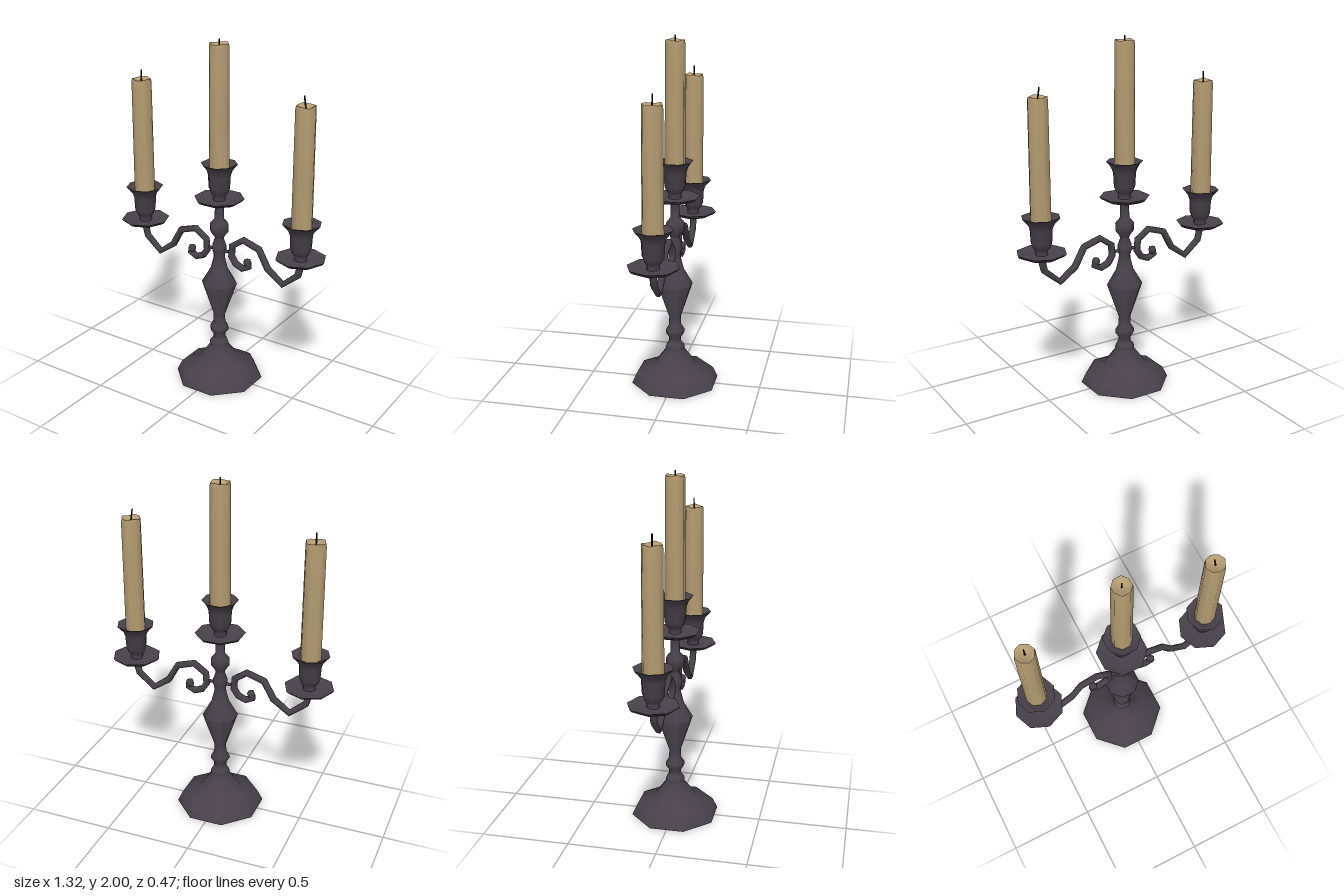
import * as THREE from 'three';
import { toCreasedNormals } from 'three/addons/utils/BufferGeometryUtils.js';

const SIDE_X = 0.522;

export function createModel() {
  const model = new THREE.Group();
  model.name = 'candelabrum';
  const material = (name, color) => {
    const m = new THREE.MeshStandardMaterial({ color });
    m.name = name;
    return m;
  };
  const metal = material('dark metal', 0x48414a);
  const wax = material('wax', 0xb39b70);
  const soot = material('wick black', 0x161414);

  const add = (parent, name, geometry, mat) => {
    const mesh = new THREE.Mesh(geometry, mat);
    mesh.name = name;
    parent.add(mesh);
    return mesh;
  };

  // Eight-sided turned part; profile is [radius, y] from bottom to top
  const turned = (profile, deform) => {
    const g = new THREE.LatheGeometry(profile.map(([r, y]) => new THREE.Vector2(r, y)), 8);
    if (deform) {
      const p = g.attributes.position;
      for (let i = 0; i < p.count; i++) {
        const a = Math.atan2(p.getX(i), p.getZ(i));
        p.setY(i, p.getY(i) + deform(Math.hypot(p.getX(i), p.getZ(i)), p.getY(i), a));
      }
    }
    return toCreasedNormals(g, 1.0);
  };

  // Foot, baluster and stem, with flats facing the front and sides
  const column = add(model, 'column', turned([
    [0, 0], [0.255, 0], [0.226, 0.06], [0.125, 0.105], [0.054, 0.2],
    [0.056, 0.215], [0.05, 0.23], [0.036, 0.245], [0.036, 0.275],
    [0.054, 0.3], [0.054, 0.32], [0.036, 0.35], [0.034, 0.4],
    [0.102, 0.6], [0.05, 0.69], [0.035, 0.75], [0.032, 0.775],
    [0.04, 0.8], [0.04, 0.835], [0.026, 0.875], [0.03, 0.89],
    [0.053, 0.92], [0.053, 0.965], [0.027, 0.995], [0.025, 1.08], [0.03, 1.095],
  ]), metal);
  column.rotation.y = Math.PI / 8;

  // Drip tray, socket, candle and wick
  function candleHolder(name, x, y, o) {
    const holder = new THREE.Group();
    holder.name = name;
    holder.position.set(x, y, 0);
    holder.rotation.y = o.turn;
    const t = o.tray, c = o.cup;
    add(holder, 'dripTray', turned([
      [0, -0.045], [0.022, -0.045], [0.03, -0.028], [t * 0.72, -0.018], [t * 0.93, -0.004], [t, 0.008],
      [t * 0.92, 0.006], [t * 0.7, -0.006], [0.035, -0.004],
    ]), metal);
    add(holder, 'socket', turned([
      [0.036, -0.005], [0.036, 0.022], [0.048, 0.035], [0.06, 0.065], [0.064, 0.14],
      [0.072, 0.165], [c * 0.84, 0.188], [c, 0.206], [c * 0.92, 0.206],
      [0.068, 0.185], [0.05, 0.18],
    ]), metal);
    const h = o.top, r = o.radius;
    add(holder, 'candle', turned([
      [r, 0.16], [r * 0.98, 0.45], [r * 0.95, h - 0.025],
      [r * 0.9, h - 0.003], [r * 0.78, h - 0.004], [r * 0.5, h - 0.022], [0, h - 0.026],
    ], (d, py, a) => (py > h - 0.01 ? 0.005 * Math.sin(3 * a + x * 5) - 0.003 : 0)), wax);
    const wick = add(holder, 'wick', new THREE.CylinderGeometry(0.004, 0.005, 0.075, 5), soot);
    wick.position.set(o.lean * -0.03, h + o.wickTop - 0.037, 0);
    wick.rotation.z = o.lean;
    model.add(holder);
  }
  candleHolder('centreHolder', 0, 1.112,
    { turn: Math.PI / 8, tray: 0.142, cup: 0.103, radius: 0.058, top: 0.87, wickTop: 0.018, lean: 0 });
  for (const s of [-1, 1]) {
    candleHolder(s > 0 ? 'leftHolder' : 'rightHolder', s * SIDE_X, 0.877,
      { turn: 0, tray: 0.14, cup: 0.108, radius: 0.059, top: 0.85, wickTop: 0.043, lean: s > 0 ? 0.16 : 0 });
  }

  // Scrolled arms, one ring of vertices at each bend
  const path = [
    [0.522, 0.855], [0.518, 0.815], [0.508, 0.775], [0.415, 0.697], [0.32, 0.765], [0.262, 0.868],
    [0.16, 0.9], [0.088, 0.85], [0.083, 0.785], [0.11, 0.745], [0.155, 0.727], [0.195, 0.745], [0.19, 0.772],
  ];
  for (const s of [-1, 1]) {
    const arm = new THREE.Group();
    arm.name = s > 0 ? 'leftArm' : 'rightArm';
    const curve = new THREE.CatmullRomCurve3(path.map(([x, y]) => new THREE.Vector3(s * x, y, 0)));
    curve.getPointAt = (t) => curve.getPoint(t);
    curve.getTangentAt = (t) => curve.getTangent(t);
    add(arm, 'scroll', new THREE.TubeGeometry(curve, path.length - 1, 0.02, 6), metal);
    const tip = add(arm, 'scrollTip', new THREE.SphereGeometry(0.025, 6, 4), metal);
    tip.position.set(s * 0.187, 0.77, 0);
    // Short bar joining the arm to the stem
    const link = add(arm, 'link', new THREE.CylinderGeometry(0.009, 0.009, 0.07, 6), metal);
    link.rotation.z = Math.PI / 2;
    link.position.set(s * 0.055, 0.806, 0);
    model.add(arm);
  }
  return model;
}
